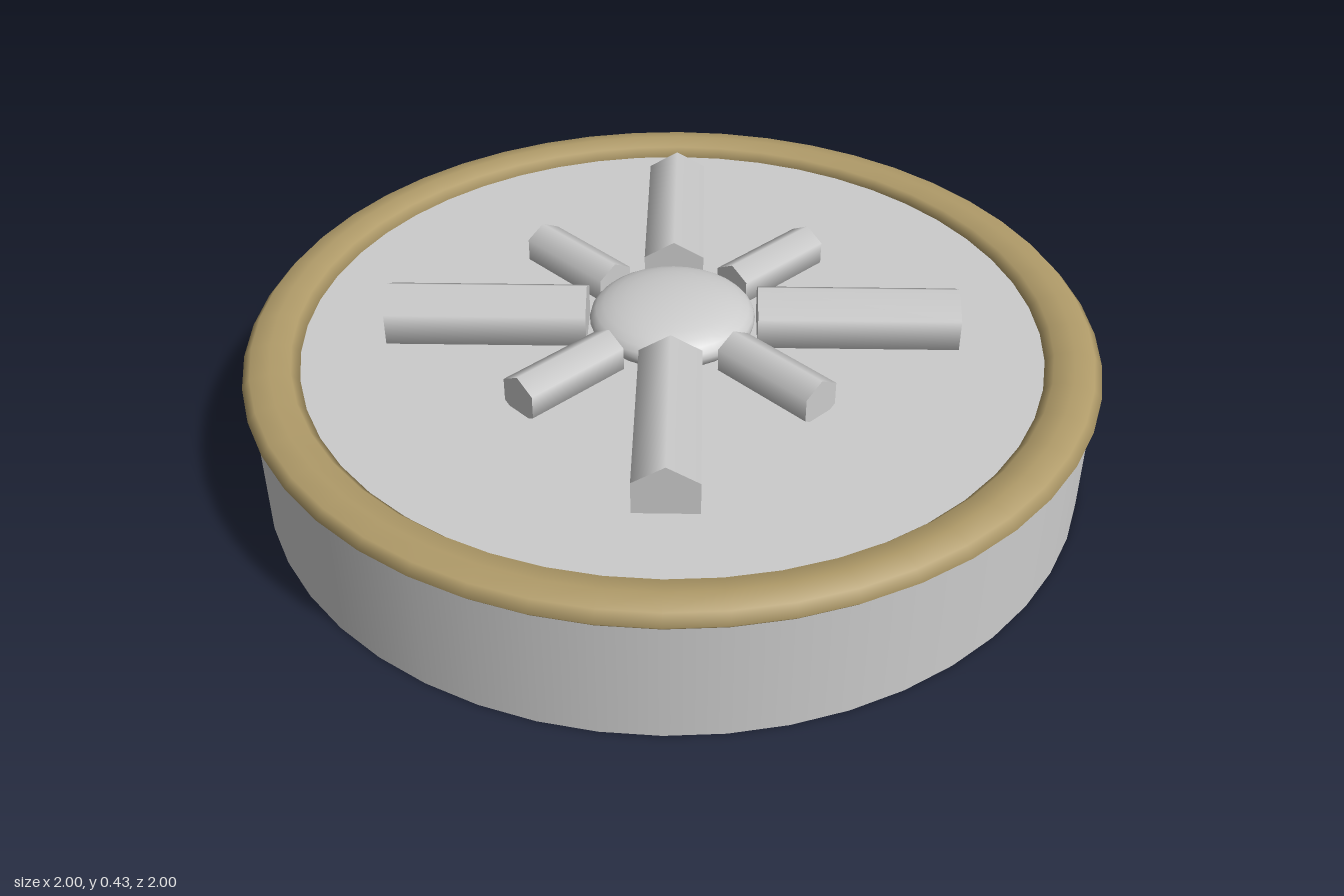
import * as THREE from 'three';

const grey = new THREE.MeshStandardMaterial({ color: 0xcccccc });
const gold = new THREE.MeshStandardMaterial({ color: 0xb09b69 });

function part(name, geometry, material = grey) {
  const mesh = new THREE.Mesh(geometry, material);
  mesh.name = name;
  return mesh;
}

// Six-sided bar lying along +x with a ridge on top, from the hub outwards
function spokeGeometry(radius, inner, outer) {
  const g = new THREE.CylinderGeometry(radius, radius, outer - inner, 6, 1, false, Math.PI / 2);
  return g.rotateZ(Math.PI / 2).translate((inner + outer) / 2, 0, 0);
}

export function createModel() {
  const model = new THREE.Group();
  model.name = 'roundEmblemDisc';

  // Solid drum
  const drum = part('drum', new THREE.CylinderGeometry(0.985, 0.985, 0.31, 48));
  drum.position.y = 0.155;
  model.add(drum);

  // Flattened ring around the top edge
  const rimGeometry = new THREE.TorusGeometry(0.935, 0.065, 8, 48)
    .rotateX(Math.PI / 2)
    .scale(1, 0.47, 1);
  const rim = part('rim', rimGeometry, gold);
  rim.position.y = 0.31;
  model.add(rim);

  // Low domed hub
  const hub = part('hub', new THREE.SphereGeometry(0.195, 32, 16).scale(1, 0.34, 1));
  hub.position.y = 0.35;
  model.add(hub);

  // Alternating long and short spokes
  const longSpoke = spokeGeometry(0.083, 0.2, 0.67);
  const shortSpoke = spokeGeometry(0.056, 0.2, 0.47);
  const spokes = new THREE.Group();
  spokes.name = 'spokes';
  spokes.position.y = 0.347;
  for (let i = 0; i < 8; i++) {
    const isLong = i % 2 === 0;
    const spoke = part(isLong ? 'longSpoke' : 'shortSpoke', isLong ? longSpoke : shortSpoke);
    spoke.rotation.y = (i * Math.PI) / 4;
    spokes.add(spoke);
  }
  model.add(spokes);

  return model;
}
